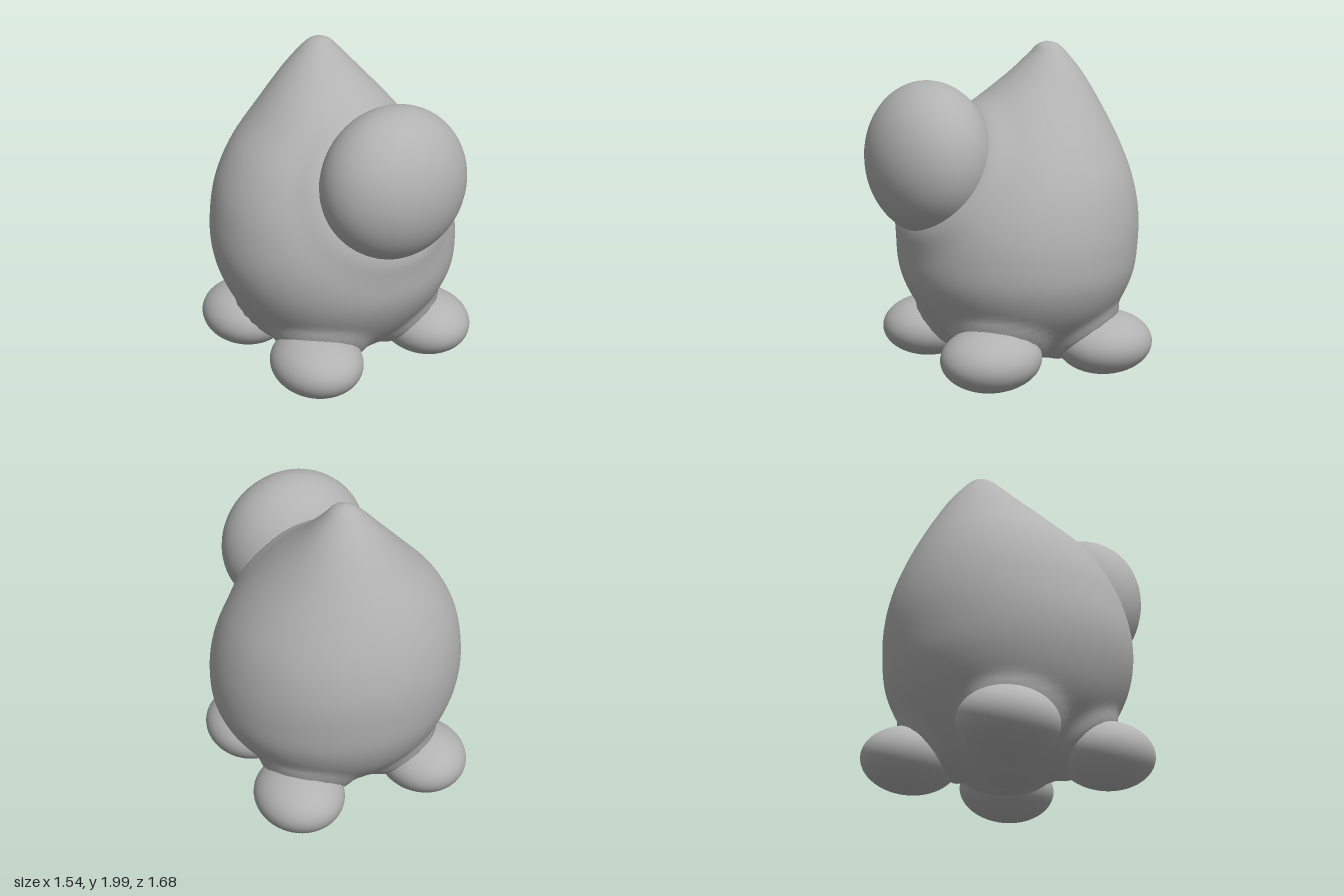
import * as THREE from 'three';

const grey = new THREE.MeshStandardMaterial({ color: 0xb2b2b2 });
grey.name = 'grey';

// Rounded lobes: name, centre, radii, width of the soft seam on the body
const lobes = [
  { name: 'snout', c: [-0.005, 1.34, 0.48], r: [0.46, 0.455, 0.36], push: 0.025 },
];
for (const [side, s] of [['Left', 1], ['Right', -1]]) {
  lobes.push({ name: 'front' + side + 'Foot', c: [s * 0.42, 0.2, 0.285], r: [0.27, 0.19, 0.305], push: 0.045 });
  lobes.push({ name: 'back' + side + 'Foot', c: [s * 0.42, 0.2, -0.485], r: [0.27, 0.19, 0.3], push: 0.045 });
}

// Body cross-sections: y, left and right x, back and front z
const sections = [
  [0.045, -0.03, -0.03, -0.11, -0.11],
  [0.055, -0.17, 0.12, -0.26, 0.04],
  [0.1, -0.29, 0.26, -0.38, 0.18],
  [0.2, -0.43, 0.42, -0.52, 0.33],
  [0.4, -0.62, 0.63, -0.7, 0.5],
  [0.6, -0.725, 0.74, -0.8, 0.6],
  [0.8, -0.77, 0.765, -0.835, 0.62],
  [1.0, -0.755, 0.745, -0.84, 0.59],
  [1.2, -0.7, 0.685, -0.805, 0.5],
  [1.4, -0.585, 0.575, -0.735, 0.38],
  [1.6, -0.4, 0.43, -0.635, 0.2],
  [1.8, -0.21, 0.27, -0.515, -0.05],
  [1.92, -0.095, 0.165, -0.42, -0.18],
  [1.98, -0.025, 0.1, -0.36, -0.235],
  [2.0, 0.035, 0.035, -0.295, -0.295],
];

function bodyGeometry(rings = 84, segs = 96) {
  const centre = new THREE.CatmullRomCurve3(
    sections.map(([y, x0, x1, z0, z1]) => new THREE.Vector3((x0 + x1) / 2, y, (z0 + z1) / 2)), false, 'catmullrom');
  const radius = new THREE.CatmullRomCurve3(
    sections.map(([, x0, x1, z0, z1]) => new THREE.Vector3((x1 - x0) / 2, 0, (z1 - z0) / 2)), false, 'catmullrom');
  const positions = [], index = [];
  for (let i = 0; i <= rings; i++) {
    const c = centre.getPoint(i / rings), r = radius.getPoint(i / rings);
    for (let j = 0; j < segs; j++) {
      const a = (j / segs) * Math.PI * 2;
      positions.push(c.x + r.x * Math.cos(a), c.y, c.z + r.z * Math.sin(a));
      if (i === rings) continue;
      const p = i * segs + j, q = i * segs + (j + 1) % segs;
      index.push(p, p + segs, q, q, p + segs, q + segs);
    }
  }
  const geo = new THREE.BufferGeometry();
  geo.setAttribute('position', new THREE.Float32BufferAttribute(positions, 3));
  geo.setIndex(index);
  geo.computeVertexNormals();

  // Swell the skin gently around each lobe so that the parts flow together
  const pos = geo.attributes.position, nor = geo.attributes.normal;
  const v = new THREE.Vector3(), n = new THREE.Vector3(), d = new THREE.Vector3();
  for (let i = 0; i < pos.count; i++) {
    v.fromBufferAttribute(pos, i);
    n.fromBufferAttribute(nor, i);
    let swell = 0;
    for (const { c, r, push } of lobes) {
      d.set((v.x - c[0]) / r[0], (v.y - c[1]) / r[1], (v.z - c[2]) / r[2]);
      const out = Math.max(0, d.length() - 1);
      swell = Math.max(swell, push * Math.exp(-((out / 0.22) ** 2)));
    }
    v.addScaledVector(n, swell);
    pos.setXYZ(i, v.x, v.y, v.z);
  }
  geo.computeVertexNormals();
  return geo;
}

export function createModel() {
  const model = new THREE.Group();
  model.name = 'eggCreature';

  const body = new THREE.Mesh(bodyGeometry(), grey);
  body.name = 'body';
  model.add(body);

  // Snout and four feet
  for (const { name, c, r } of lobes) {
    const lobe = new THREE.Mesh(new THREE.SphereGeometry(1, 48, 32).scale(...r), grey);
    lobe.name = name;
    lobe.position.set(...c);
    model.add(lobe);
  }
  return model;
}
